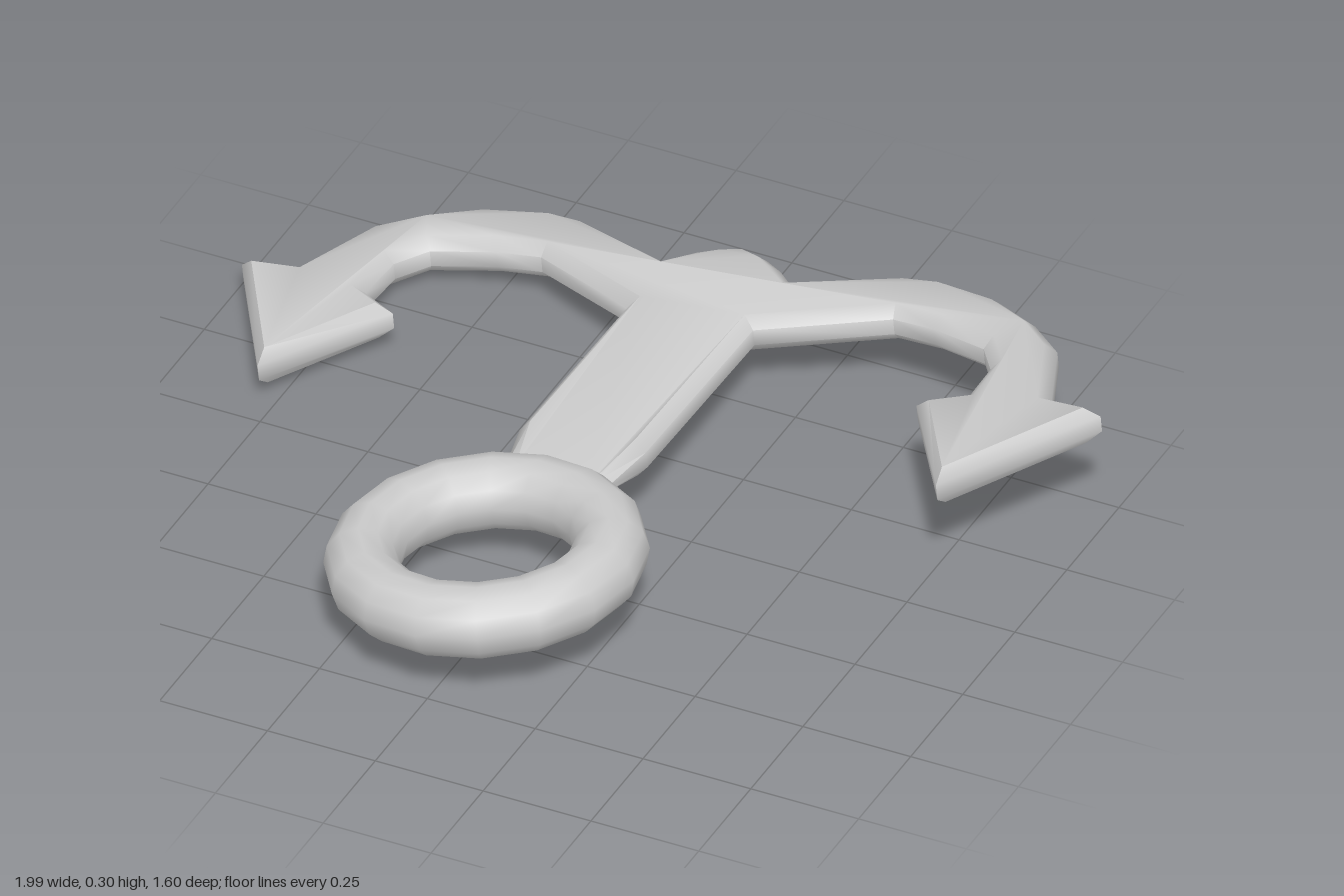
import * as THREE from 'three';
import { toCreasedNormals } from 'three/addons/utils/BufferGeometryUtils.js';

export function createModel() {
  const model = new THREE.Group();
  model.name = 'anchor';
  const material = new THREE.MeshStandardMaterial({ color: 0xcccccc });

  const add = (name, geometry) => {
    const mesh = new THREE.Mesh(geometry, material);
    mesh.name = name;
    model.add(mesh);
    return mesh;
  };

  // Right half of the flat body outline as [x, z], from the crown round to the shank end
  const half = [
    [0.055, -0.775], [0.1, -0.745], [0.147, -0.7],              // crown
    [0.37, -0.79], [0.455, -0.8], [0.6, -0.77], [0.71, -0.71],  // outer arm
    [0.8, -0.63], [0.877, -0.44],
    [1.0, -0.425], [0.79, -0.067], [0.61, -0.345], [0.7, -0.4], // fluke
    [0.695, -0.525], [0.645, -0.595], [0.51, -0.635],           // inner arm
    [0.41, -0.645], [0.147, -0.515],
    [0.147, 0], [0.12, 0.135], [0.1, 0.19],                     // shank
  ];
  const mirrored = half.map(([x, z]) => [-x, z]).reverse();
  const outline = [[0, -0.795], ...half, ...mirrored];
  const shape = new THREE.Shape(outline.map(([x, z]) => new THREE.Vector2(x, -z)));

  const bevel = 0.025, depth = 0.036;
  const body = new THREE.ExtrudeGeometry(shape, {
    depth, bevelEnabled: true, bevelSegments: 1,
    bevelSize: bevel, bevelThickness: bevel, bevelOffset: -bevel,
  });
  body.translate(0, 0, -depth / 2).rotateX(-Math.PI / 2);

  // Thin the shank down where it enters the ring
  const p = body.attributes.position;
  for (let i = 0; i < p.count; i++) {
    const t = THREE.MathUtils.clamp(p.getZ(i) / 0.135, 0, 1);
    p.setY(i, p.getY(i) * (1 - 0.7 * t));
  }
  add('shankArmsAndFlukes', toCreasedNormals(body, 0.9));

  // Ring at the end of the shank
  const ring = new THREE.TorusGeometry(0.263, 0.08, 12, 16).rotateX(Math.PI / 2);
  add('ring', ring).position.set(-0.005, 0.003, 0.455);

  // The anchor lies slightly tilted
  model.rotation.set(-0.03, 0, 0.11);
  model.position.y = 0.17;

  const root = new THREE.Group();
  root.name = 'tiltedAnchor';
  root.add(model);
  return root;
}
